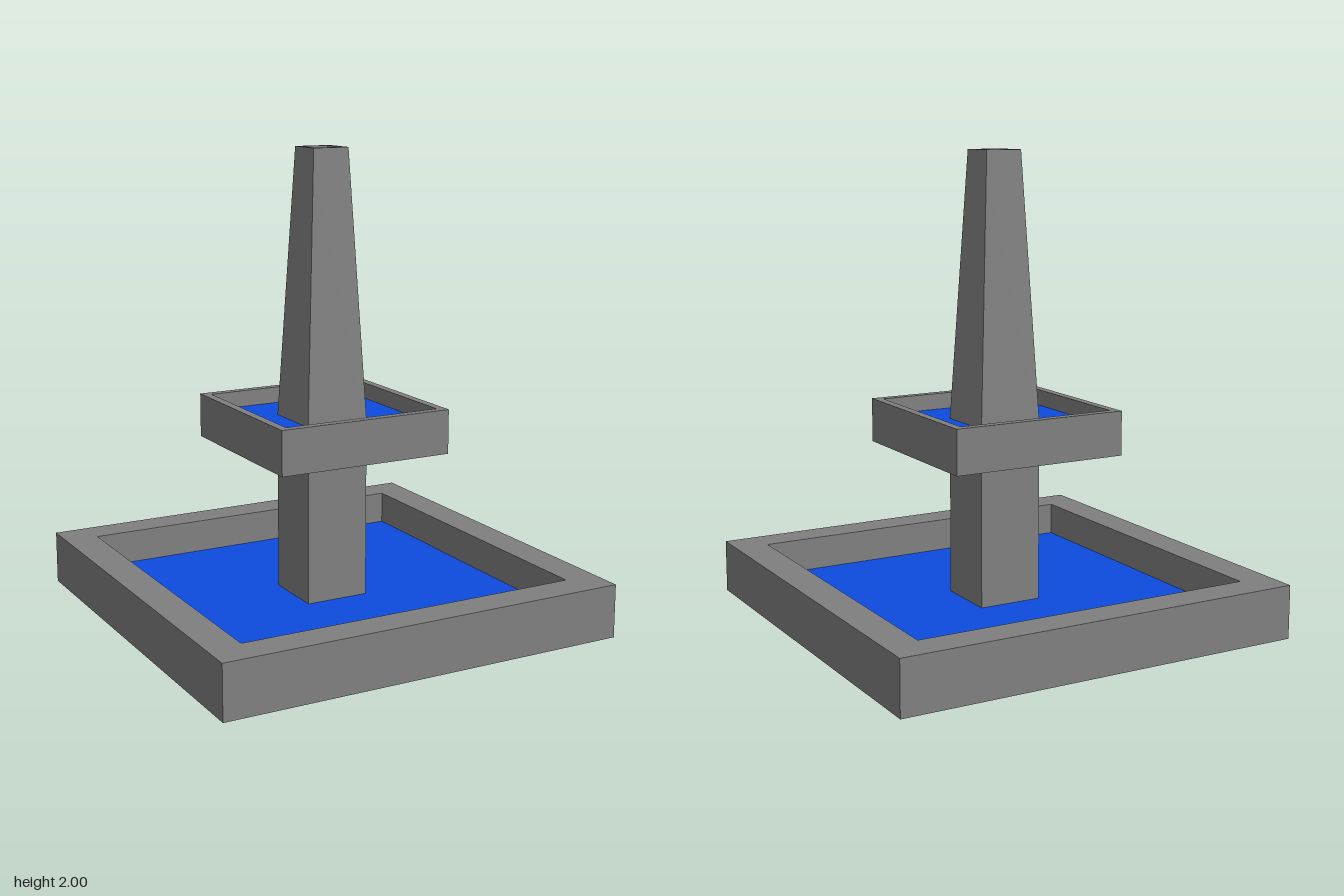
import * as THREE from 'three';

const stone = new THREE.MeshStandardMaterial({ color: 0x808080 });
stone.name = 'grey stone';
const water = new THREE.MeshStandardMaterial({ color: 0x0d4cdf });
water.name = 'blue water';

// Square solid of revolution from [half width, height] points, with hard edges
function squareLathe(name, profile) {
  const points = profile.map(([half, y]) => new THREE.Vector2(half * Math.SQRT2, y));
  const geometry = new THREE.LatheGeometry(points, 4, Math.PI / 4).toNonIndexed();
  geometry.computeVertexNormals();
  const mesh = new THREE.Mesh(geometry, stone);
  mesh.name = name;
  return mesh;
}

// Flat square water surface
function waterSurface(name, half, y) {
  const mesh = new THREE.Mesh(new THREE.PlaneGeometry(half * 2, half * 2), water);
  mesh.name = name;
  mesh.rotation.x = -Math.PI / 2;
  mesh.position.y = y;
  return mesh;
}

// Open-topped square basin filled up to the water level
function basin(name, outer, inner, bottom, top, level) {
  const group = new THREE.Group();
  group.name = name;
  group.add(
    squareLathe(name + 'Wall', [[0, bottom], [outer, bottom], [outer, top], [inner, top], [inner, level]]),
    waterSurface(name + 'Water', inner, level)
  );
  return group;
}

export function createModel() {
  const model = new THREE.Group();
  model.name = 'fountain';

  // Basins
  model.add(basin('lowerBasin', 0.895, 0.75, 0, 0.23, 0.085));
  model.add(basin('upperBasin', 0.39, 0.353, 0.735, 0.925, 0.855));

  // Straight pillar between the basins
  model.add(squareLathe('pillar', [[0.14, 0.085], [0.14, 0.735]]));

  // Tapered spire with a small hollow holding water at its tip
  model.add(squareLathe('spire', [[0.14, 0.855], [0.081, 2], [0.0625, 2], [0.0625, 1.95]]));
  model.add(waterSurface('spireWater', 0.0625, 1.95));

  return model;
}
